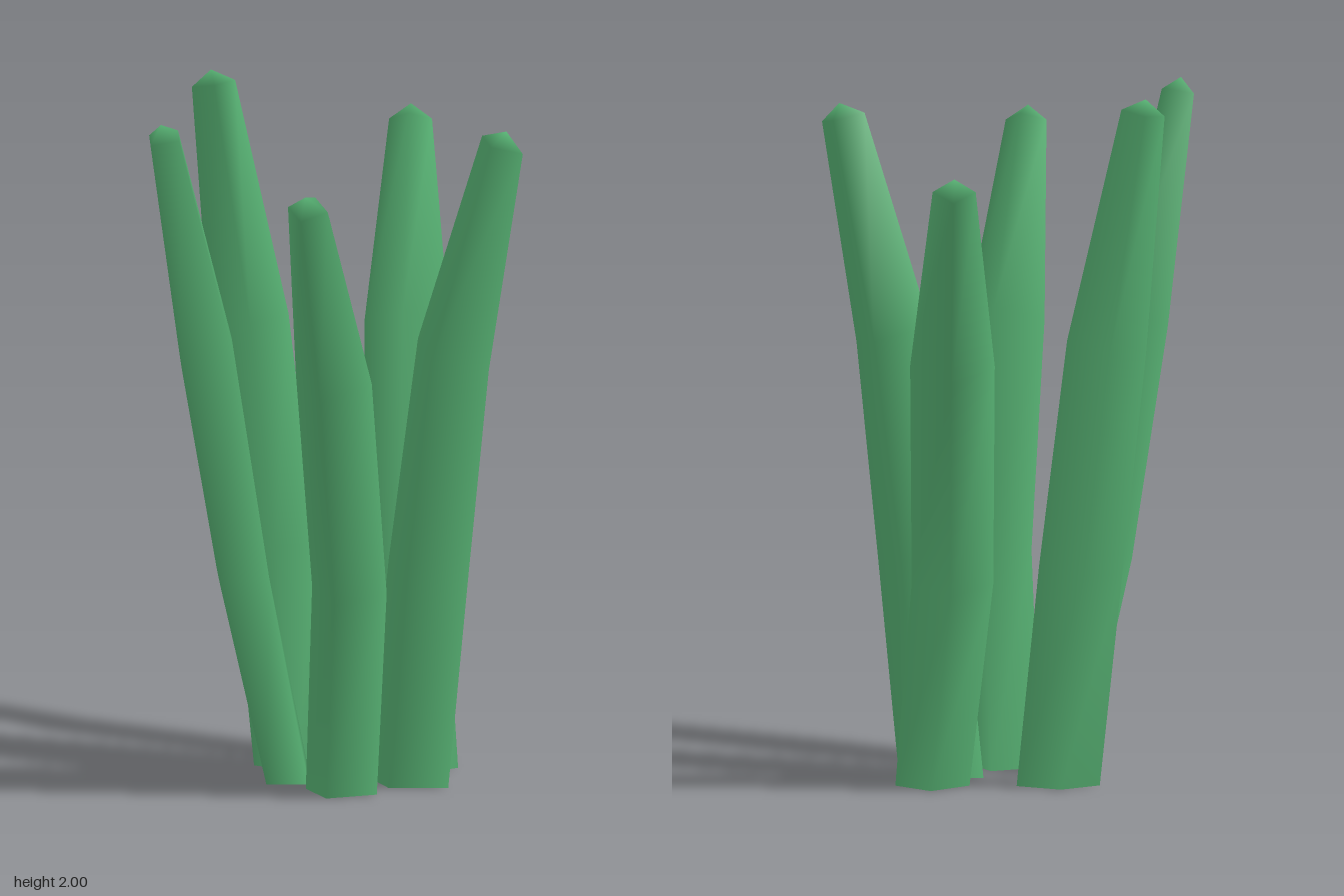
import * as THREE from 'three';

// Each blade: out = half diagonal towards the outside [x, z], side = half diagonal sideways [x, z],
// rings = [x, y, z, scale of out, scale of side] from the ground to the tip.
const BLADES = {
  rightBackBlade: { out: [-0.03, -0.1], side: [0.1, -0.035], rings: [
    [0.12, 0, -0.23, 1, 1], [0.03, 0.6, -0.315, 1, 1.1], [-0.015, 1.25, -0.445, 0.95, 1.14], [-0.1, 1.79, -0.675, 0.5, 0.58]] },
  rightBlade: { out: [-0.11, 0.045], side: [-0.035, -0.075], rings: [
    [-0.22, 0, -0.115, 1, 0.9], [-0.295, 0.63, -0.135, 1, 1.18], [-0.375, 1.28, -0.14, 0.95, 1.18], [-0.485, 1.96, -0.14, 0.52, 0.6]] },
  rightFrontBlade: { out: [-0.035, 0.085], side: [-0.082, -0.036], rings: [
    [-0.155, 0, 0.095, 0.95, 0.95], [-0.24, 0.62, 0.225, 1, 1.22], [-0.3, 1.28, 0.35, 1.1, 1.3], [-0.37, 1.925, 0.495, 0.6, 0.7]] },
  frontBlade: { out: [0, 0.11], side: [-0.11, 0], rings: [
    [0.05, 0, 0.19, 1, 1], [0.115, 0.61, 0.285, 1, 1.05], [0.128, 1.25, 0.43, 0.92, 1.07], [0.152, 1.79, 0.678, 0.48, 0.56]] },
  leftBlade: { out: [0.14, 0.033], side: [-0.015, 0.105], rings: [
    [0.17, 0, -0.012, 1, 0.97], [0.24, 0.62, 0.003, 0.97, 1.1], [0.32, 1.26, 0.007, 0.87, 1.14], [0.47, 1.88, 0.002, 0.5, 0.6]] },
};

function bladeGeometry({ out, side, rings }) {
  const positions = [];
  const index = [];
  let lean = [0, 0];

  // Four-cornered rings, tilted to follow the bend
  rings.forEach(([x, y, z, so, ss], r) => {
    const next = rings[r + 1];
    if (next && r > 0) lean = [(next[0] - x) / (next[1] - y), (next[2] - z) / (next[1] - y)];
    for (const [o, s] of [[-so, 0], [0, ss], [so, 0], [0, -ss]]) {
      const dx = out[0] * o + side[0] * s;
      const dz = out[1] * o + side[1] * s;
      positions.push(x + dx, y - 1.1 * (dx * lean[0] + dz * lean[1]), z + dz);
    }
  });

  // Sides
  for (let r = 0; r < rings.length - 1; r++) {
    for (let i = 0; i < 4; i++) {
      const a = r * 4 + i, b = r * 4 + (i + 1) % 4;
      index.push(a, b, b + 4, a, b + 4, a + 4);
    }
  }

  // Blunt pointed tip
  const top = (rings.length - 1) * 4;
  const [tx, ty, tz] = rings[rings.length - 1];
  positions.push(tx + lean[0] * 0.05, ty + 0.04, tz + lean[1] * 0.05);
  for (let i = 0; i < 4; i++) index.push(top + i, top + (i + 1) % 4, top + 4);

  // Flat base with its own corners, so its edge stays sharp
  const base = positions.length / 3;
  positions.push(...positions.slice(0, 12));
  index.push(base, base + 2, base + 1, base, base + 3, base + 2);

  const geometry = new THREE.BufferGeometry();
  geometry.setAttribute('position', new THREE.Float32BufferAttribute(positions, 3));
  geometry.setIndex(index);
  geometry.computeVertexNormals();
  return geometry;
}

export function createModel() {
  const group = new THREE.Group();
  group.name = 'grassTuft';
  const green = new THREE.MeshStandardMaterial({ color: 0x56b072 });
  green.name = 'leafGreen';
  for (const [name, blade] of Object.entries(BLADES)) {
    const mesh = new THREE.Mesh(bladeGeometry(blade), green);
    mesh.name = name;
    group.add(mesh);
  }
  return group;
}
